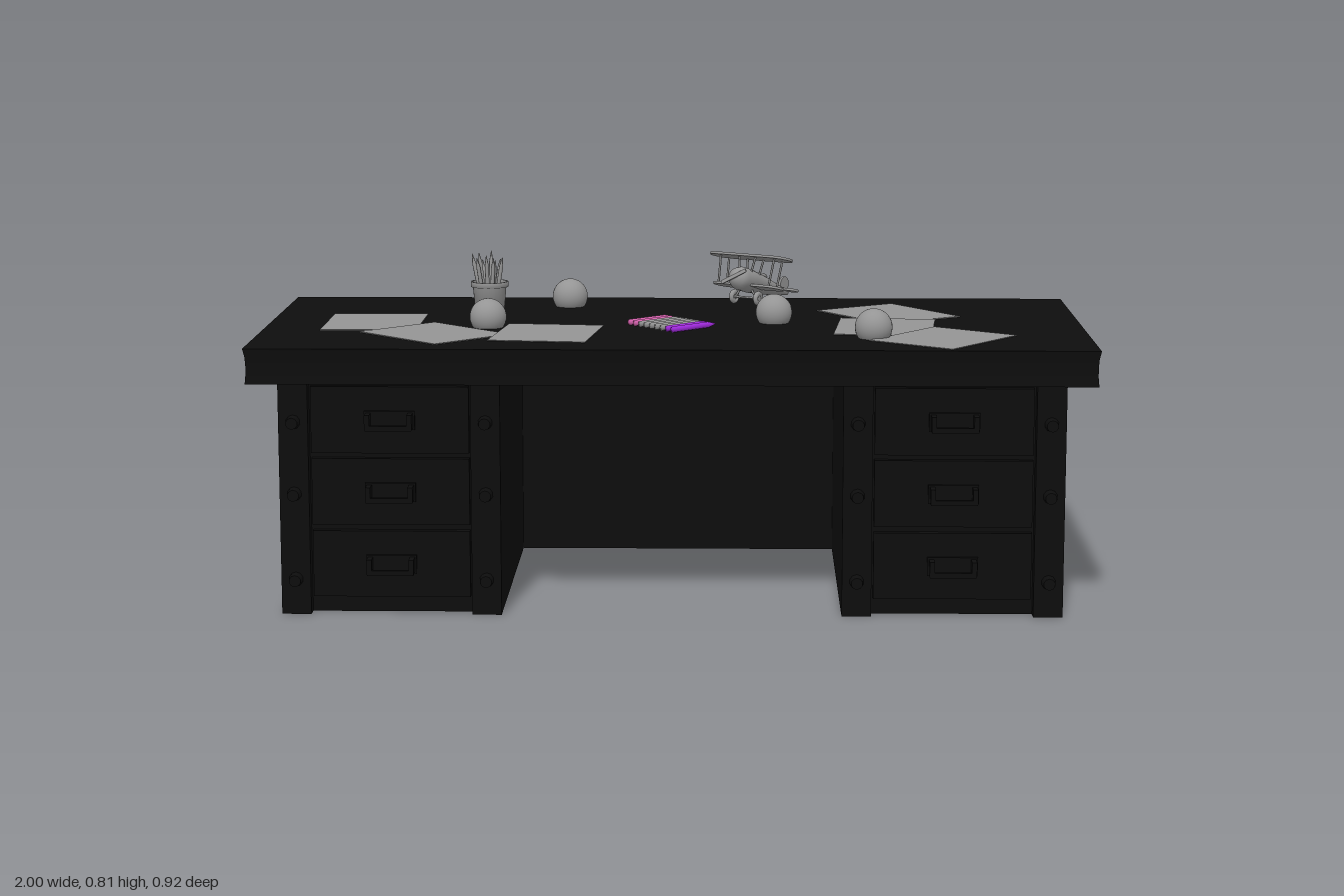
import * as THREE from 'three';

const mat = (name, hex, extra = {}) => {
  const m = new THREE.MeshStandardMaterial({ color: hex, ...extra });
  m.name = name;
  return m;
};

export function createModel() {
  const black = mat('blackWood', 0x0d0d0d);
  const gray = mat('gray', 0x959595);
  const pink = mat('pink', 0xd863b0);
  const purple = mat('purple', 0xa32be0);

  const root = new THREE.Group();
  root.name = 'desk';
  const add = (name, geo, m, x = 0, y = 0, z = 0, parent = root) => {
    const mesh = new THREE.Mesh(geo, m);
    mesh.name = name;
    mesh.position.set(x, y, z);
    parent.add(mesh);
    return mesh;
  };
  const box = (name, m, w, h, d, x, y, z, parent) =>
    add(name, new THREE.BoxGeometry(w, h, d), m, x, y, z, parent);
  const group = (name, parent = root) => {
    const g = new THREE.Group();
    g.name = name;
    parent.add(g);
    return g;
  };

  // Desk top with slightly hollowed edges
  const topGeo = new THREE.BoxGeometry(2, 0.085, 0.92, 1, 4, 1);
  const p = topGeo.attributes.position;
  for (let i = 0; i < p.count; i++) {
    const t = (p.getY(i) + 0.0425) / 0.085;
    const inset = t < 0.9 ? 0.006 * Math.sin(Math.PI * (0.2 + t * 0.7)) : 0;
    p.setX(i, p.getX(i) - Math.sign(p.getX(i)) * inset);
    p.setZ(i, p.getZ(i) - Math.sign(p.getZ(i)) * inset);
  }
  topGeo.computeVertexNormals();
  add('deskTop', topGeo, black, 0, 0.6075, 0);

  // Back panel closing the kneehole
  box('backPanel', black, 0.84, 0.565, 0.07, 0, 0.2825, -0.39);

  // Pedestals with corner posts, drawers and handles
  for (const s of [-1, 1]) {
    const ped = group(s > 0 ? 'leftPedestal' : 'rightPedestal');
    box('cabinet', black, 0.525, 0.565, 0.785, s * 0.6675, 0.2825, -0.0325, ped);
    for (const x of [0.44, 0.895]) {
      box('cornerPost', black, 0.07, 0.565, 0.035, s * x, 0.2825, 0.3755, ped);
      for (const y of [0.465, 0.292, 0.085]) {
        const stud = add('postStud', new THREE.CylinderGeometry(0.014, 0.018, 0.03, 10), black, s * x, y, 0.403, ped);
        stud.rotation.x = Math.PI / 2;
      }
    }
    for (const y of [0.12, 0.295, 0.468]) {
      box('drawer', black, 0.375, 0.16, 0.02, s * 0.6675, y, 0.368, ped);
      const z = 0.394;
      box('handleBar', black, 0.11, 0.012, 0.012, s * 0.6675, y - 0.014, 0.414, ped);
      box('handlePlate', black, 0.12, 0.045, 0.008, s * 0.6675, y, 0.381, ped);
      for (const e of [-1, 1])
        box('handleEnd', black, 0.012, 0.036, 0.04, s * 0.6675 + e * 0.05, y, z + 0.006, ped);
    }
  }

  // Paper sheets: x, z and the direction of the long side
  const sheets = [
    [-0.742, 0.013, 0, 1], [-0.575, 0.21, 1, 1], [-0.305, 0.208, -6, 53],
    [0.535, -0.163, 30, 44], [0.516, 0.083, -5, 53], [0.645, 0.273, -31, 42],
  ];
  sheets.forEach(([x, z, dx, dz], i) => {
    const sheet = box('paper', gray, 0.235, 0.002, 0.285, x, 0.651 + (i % 3) * 0.001, z);
    sheet.rotation.y = Math.atan2(dx, dz);
  });

  // Balls sunk a little into the top
  for (const [x, z] of [[-0.275, -0.295], [-0.455, 0.092], [0.245, -0.003], [0.48, 0.255]])
    add('ball', new THREE.SphereGeometry(0.045, 28, 18), gray, x, 0.676, z);

  // One pencil, with its tip towards +y and its base at the origin
  const pencilGeo = (len, r) => new THREE.LatheGeometry(
    [[0, 0], [r, 0], [r, len * 0.82], [r * 0.25, len * 0.98], [0, len]].map(a => new THREE.Vector2(...a)), 8);

  // Row of pencils lying on the desk
  const row = group('pencilRow');
  row.position.set(-0.005, 0.657, 0.06);
  const n = 9;
  for (let i = 0; i < n; i++) {
    const t = (i - (n - 1) / 2) * 0.0205;
    const m = i < 2 ? pink : i > n - 3 ? purple : gray;
    const pencil = add('pencil', pencilGeo(0.145, 0.0075), m,
      t * 0.66 - 0.051, 0, t * 0.75 + 0.051, row);
    pencil.quaternion.setFromUnitVectors(new THREE.Vector3(0, 1, 0),
      new THREE.Vector3(1, 0, -1).normalize());
  }

  // Pencil cup
  const cup = group('pencilCup');
  cup.position.set(-0.468, 0.65, -0.12);
  const cupMat = mat('cupGray', 0x909090, { side: THREE.DoubleSide });
  add('cup', new THREE.LatheGeometry(
    [[0, 0.003], [0.036, 0.003], [0.042, 0.072], [0.047, 0.073], [0.047, 0.086], [0.042, 0.086], [0.034, 0.012], [0, 0.012]]
      .map(a => new THREE.Vector2(...a)), 24), cupMat, 0, 0, 0, cup);
  for (let i = 0; i < 10; i++) {
    const a = i * 2.4, r = 0.008 + 0.018 * ((i * 7 % 10) / 10);
    const pencil = add('standingPencil', pencilGeo(0.128 + 0.025 * ((i * 3 % 7) / 7), 0.005), gray,
      r * 0.7 * Math.cos(a), 0.012, r * 0.7 * Math.sin(a), cup);
    pencil.quaternion.setFromUnitVectors(new THREE.Vector3(0, 1, 0),
      new THREE.Vector3(r * 9 * Math.cos(a), 1, r * 9 * Math.sin(a)).normalize());
  }

  // Toy biplane, nose towards local +z
  const plane = group('toyBiplane');
  plane.position.set(0.213, 0.71, -0.268);
  plane.rotation.set(-0.27, -0.57, 0, 'YXZ');
  const hull = add('fuselage', new THREE.LatheGeometry(
    [[0, -0.135], [0.006, -0.132], [0.014, -0.08], [0.024, -0.01], [0.03, 0.06], [0.03, 0.1], [0.024, 0.118], [0.01, 0.126], [0, 0.127]]
      .map(a => new THREE.Vector2(...a)), 20), gray, 0, 0, 0, plane);
  hull.rotation.x = Math.PI / 2;

  // Flat rounded wing lying in the local xz plane
  const wing = (name, span, chord, y, z) => {
    const r = chord / 2, h = span / 2 - r;
    const s = new THREE.Shape();
    s.absarc(h, 0, r, -Math.PI / 2, Math.PI / 2);
    s.absarc(-h, 0, r, Math.PI / 2, Math.PI * 1.5);
    const g = new THREE.ExtrudeGeometry(s, { depth: 0.006, bevelEnabled: false, curveSegments: 10 });
    g.rotateX(-Math.PI / 2);
    return add(name, g, gray, 0, y, z, plane);
  };
  wing('upperWing', 0.235, 0.075, 0.058, 0.062);
  wing('lowerWing', 0.2, 0.065, -0.016, 0.055);
  wing('tailplane', 0.085, 0.036, 0.003, -0.115);
  const fin = add('tailFin', new THREE.CylinderGeometry(0.02, 0.02, 0.006, 18), gray, 0, 0.02, -0.112, plane);
  fin.rotation.z = Math.PI / 2;

  const rod = (name, a, b, r = 0.0028) => {
    const A = new THREE.Vector3(...a), B = new THREE.Vector3(...b);
    const m = add(name, new THREE.CylinderGeometry(r, r, A.distanceTo(B), 6), gray, 0, 0, 0, plane);
    m.position.copy(A).add(B).multiplyScalar(0.5);
    m.quaternion.setFromUnitVectors(new THREE.Vector3(0, 1, 0), B.sub(A).normalize());
  };
  for (const s of [-1, 1]) {
    for (const z of [0.04, 0.08]) {
      rod('wingStrut', [s * 0.075, -0.012, z], [s * 0.08, 0.06, z]);
      rod('cabaneStrut', [s * 0.018, 0.02, z], [s * 0.024, 0.06, z]);
    }
    rod('wheelStrut', [s * 0.015, -0.02, 0.065], [s * 0.033, -0.045, 0.058]);
    const wheel = add('wheel', new THREE.TorusGeometry(0.012, 0.0065, 8, 18), gray, s * 0.036, -0.042, 0.058, plane);
    wheel.rotation.y = Math.PI / 2;
    const hub = add('wheelHub', new THREE.CylinderGeometry(0.01, 0.01, 0.008, 12), gray, s * 0.036, -0.042, 0.058, plane);
    hub.rotation.z = Math.PI / 2;
  }
  rod('axle', [-0.036, -0.042, 0.058], [0.036, -0.042, 0.058]);
  const rim = add('cockpitRim', new THREE.TorusGeometry(0.013, 0.004, 8, 18), gray, 0, 0.024, 0.004, plane);
  rim.rotation.x = Math.PI / 2 - 0.1;
  const prop = box('propeller', gray, 0.075, 0.009, 0.004, 0, 0, 0.13, plane);
  prop.rotation.z = 0.5;

  return root;
}
